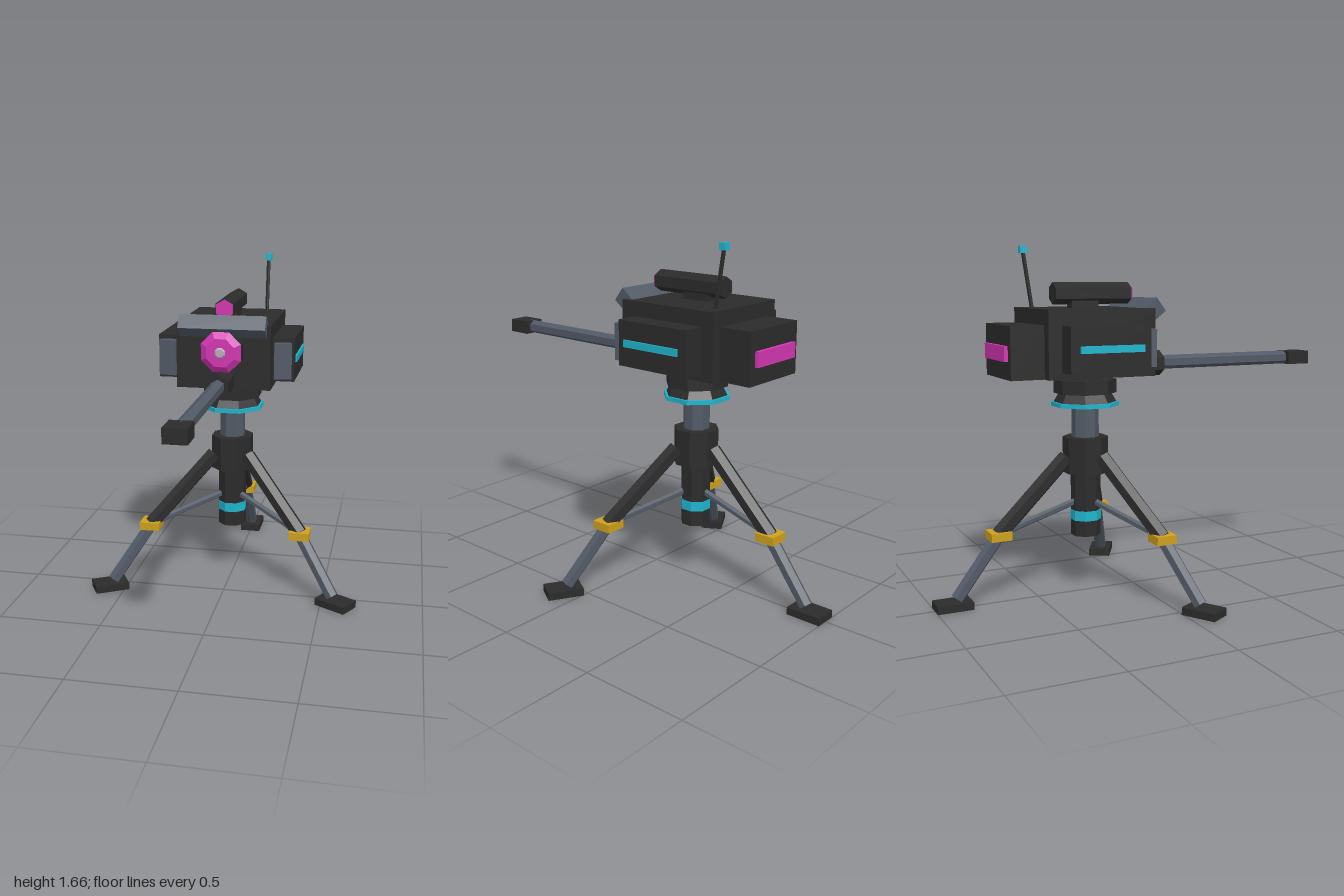
import * as THREE from 'three';

const mat = (name, color) => {
  const m = new THREE.MeshStandardMaterial({ color, flatShading: true });
  m.name = name;
  return m;
};

export function createModel() {
  const dark = mat('charcoal', 0x2b2b2b);
  const slate = mat('slate grey', 0x515a66);
  const cyan = mat('cyan', 0x1fb4cc);
  const magenta = mat('magenta', 0xd236b2);
  const yellow = mat('yellow', 0xcfa01c);
  const pale = mat('pale grey', 0xb8aeb8);

  const model = new THREE.Group();
  model.name = 'tripodTurret';
  const V = (x, y, z) => new THREE.Vector3(x, y, z);

  const add = (parent, name, geometry, material) => {
    const m = new THREE.Mesh(geometry, material);
    m.name = name;
    parent.add(m);
    return m;
  };
  // Box given by its limits on each axis
  const box = (name, material, x0, x1, y0, y1, z0, z1, parent = model) => {
    const m = add(parent, name, new THREE.BoxGeometry(x1 - x0, y1 - y0, z1 - z0), material);
    m.position.set((x0 + x1) / 2, (y0 + y1) / 2, (z0 + z1) / 2);
    return m;
  };
  // Straight prism from a to b
  const rod = (name, material, a, b, r, sides = 6, parent = model) => {
    const m = add(parent, name, new THREE.CylinderGeometry(r, r, a.distanceTo(b), sides), material);
    m.position.copy(a).lerp(b, 0.5);
    m.quaternion.setFromUnitVectors(V(0, 1, 0), b.clone().sub(a).normalize());
    return m;
  };

  // ---- Tripod ----
  const tripod = new THREE.Group();
  tripod.name = 'tripod';
  tripod.position.z = -0.25;
  model.add(tripod);

  // Octagonal column sections: name, material, half width at bottom and top, y from, y to
  const sections = [
    ['lowerColumn', dark, 0.066, 0.066, 0.28, 0.59],
    ['columnBand', cyan, 0.068, 0.068, 0.356, 0.404],
    ['legCollar', dark, 0.1, 0.1, 0.587, 0.76],
    ['upperColumn', slate, 0.06, 0.06, 0.75, 0.92],
    ['glowRing', cyan, 0.149, 0.149, 0.908, 0.928],
    ['swivelCone', dark, 0.138, 0.115, 0.928, 0.97],
    ['swivelPlate', dark, 0.138, 0.138, 0.97, 1.035],
    ['swivelNeck', dark, 0.07, 0.07, 1.03, 1.07],
  ];
  for (const [name, material, bottom, top, y0, y1] of sections) {
    const k = 1 / Math.cos(Math.PI / 8);
    const m = add(tripod, name, new THREE.CylinderGeometry(top * k, bottom * k, y1 - y0, 8), material);
    m.position.y = (y0 + y1) / 2;
    m.rotation.y = Math.PI / 8;
  }

  for (const angle of [Math.PI / 3, Math.PI, -Math.PI / 3]) {
    const leg = new THREE.Group();
    leg.name = 'leg';
    leg.rotation.y = angle;
    tripod.add(leg);
    rod('upperLeg', dark, V(0, 0.665, 0.1), V(0, 0.325, 0.44), 0.04, 6, leg);
    rod('lowerLeg', slate, V(0, 0.335, 0.43), V(0, 0.045, 0.645), 0.032, 6, leg);
    rod('strut', slate, V(0, 0.445, 0.06), V(0, 0.335, 0.41), 0.017, 6, leg);
    box('foot', dark, -0.055, 0.055, 0, 0.036, 0.58, 0.75, leg);
    const joint = box('legClamp', yellow, -0.05, 0.05, 0.303, 0.343, 0.39, 0.49, leg);
    joint.rotation.y = -angle;
  }

  // ---- Housing ----
  box('housing', dark, -0.228, 0.228, 1.058, 1.37, -0.518, 0.01);
  box('rearHousing', dark, -0.175, 0.175, 1.058, 1.3, -0.677, -0.518);
  box('rearPanel', magenta, -0.14, 0.14, 1.14, 1.21, -0.695, -0.677);
  for (const s of [-1, 1]) {
    const side = new THREE.Group();
    side.name = s > 0 ? 'leftPod' : 'rightPod';
    side.position.x = s * 0.28;
    model.add(side);
    box('pod', dark, -0.053, 0.053, 1.09, 1.3, -0.455, -0.065, side);
    box('podStrip', cyan, s * 0.0575 - 0.0045, s * 0.0575 + 0.0045, 1.18, 1.213, -0.41, -0.1, side);
    const plate = box('podShield', slate, -0.042, 0.042, 1.108, 1.28, -0.065, -0.025, side);
    plate.rotation.y = s * 0.15;
  }

  // Tilted brow over the lens
  const brow = add(model, 'brow', new THREE.BoxGeometry(0.418, 0.076, 0.084), slate);
  brow.position.set(0, 1.362, 0.017);
  brow.rotation.x = -0.66;

  // Lens: dark socket, bevelled disc, small core
  const lens = new THREE.Group();
  lens.name = 'lens';
  lens.position.set(0, 1.248, 0);
  lens.rotation.x = Math.PI / 2;
  model.add(lens);
  const disc = (name, material, rBack, rFront, z0, z1) => {
    const m = add(lens, name, new THREE.CylinderGeometry(rFront, rBack, z1 - z0, 8), material);
    m.position.y = (z0 + z1) / 2;
    m.rotation.y = Math.PI / 8;
  };
  disc('lensSocket', dark, 0.104, 0.104, 0, 0.07);
  disc('lensDisc', magenta, 0.104, 0.072, 0.07, 0.093);
  disc('lensCore', pale, 0.03, 0.02, 0.09, 0.102);

  // ---- Barrel ----
  rod('barrelMount', dark, V(0, 1.097, 0), V(0, 1.097, 0.148), 0.061);
  rod('barrel', slate, V(0, 1.1, 0.14), V(0, 1.1, 0.9), 0.034);
  box('muzzle', dark, -0.052, 0.052, 1.066, 1.132, 0.877, 1);

  // ---- Scope and antenna ----
  box('scopeBase', dark, -0.03, 0.03, 1.365, 1.41, -0.325, -0.19);
  rod('scope', dark, V(0, 1.438, -0.41), V(0, 1.438, -0.025), 0.051);
  rod('scopeLens', magenta, V(0, 1.438, -0.03), V(0, 1.438, -0.018), 0.046);
  rod('antenna', dark, V(0.14, 1.36, -0.46), V(0.14, 1.635, -0.502), 0.01);
  box('antennaTip', cyan, 0.124, 0.156, 1.624, 1.657, -0.519, -0.487);

  return model;
}
